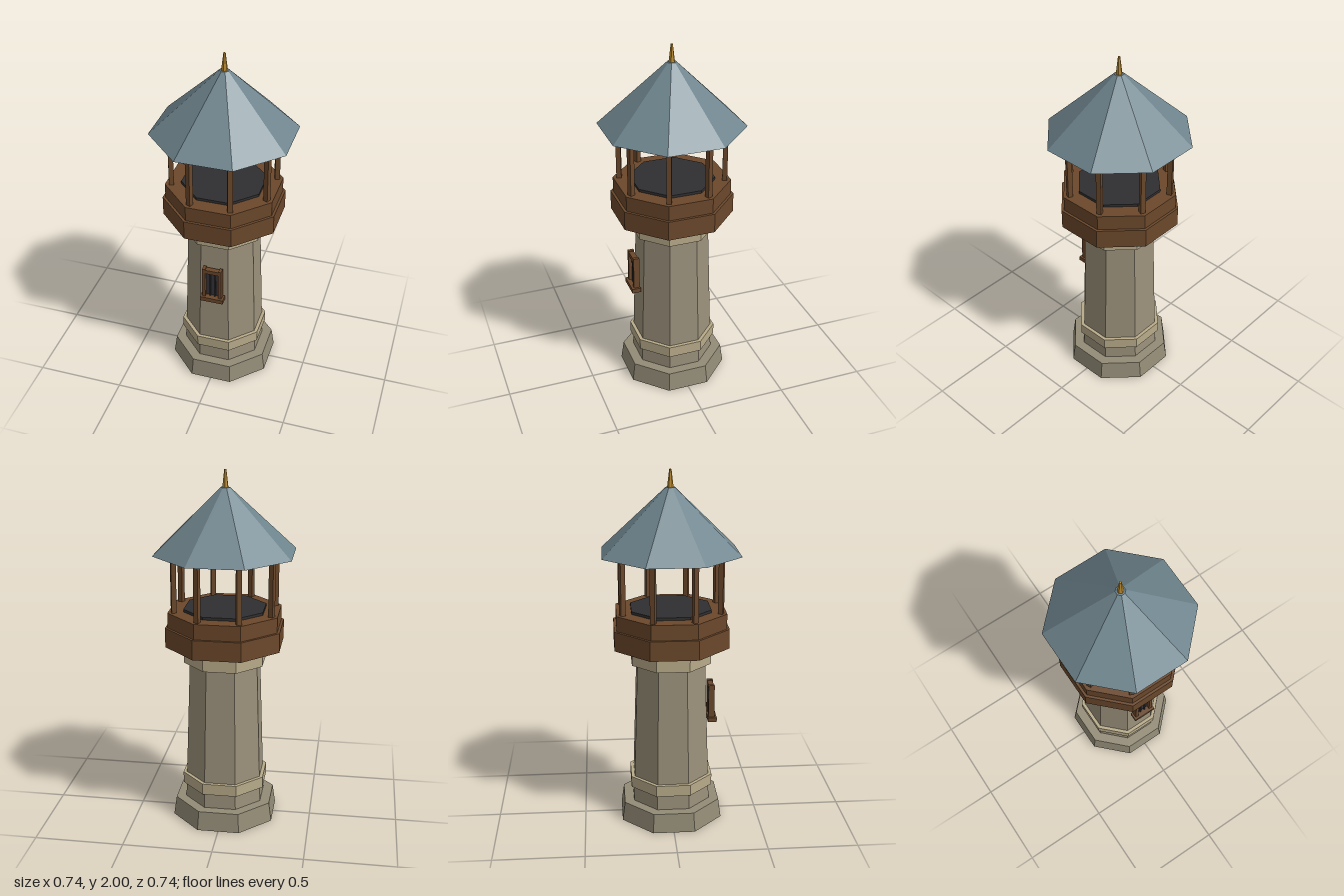
import * as THREE from 'three';

const COLORS = {
  stone: 0x9b917b, baseStone: 0x928b76, trimStone: 0xb8ab8a, wood: 0x6b482b,
  slate: 0x6f858e, darkFloor: 0x2f2f31, darkPane: 0x34343a, gold: 0xb88a30,
};

export function createModel() {
  const model = new THREE.Group();
  model.name = 'watchtower';
  const mats = {};
  for (const [name, color] of Object.entries(COLORS)) {
    mats[name] = new THREE.MeshStandardMaterial({ color, flatShading: true });
    mats[name].name = name;
  }

  const add = (parent, name, geometry, mat) => {
    const mesh = new THREE.Mesh(geometry, mats[mat]);
    mesh.name = name;
    parent.add(mesh);
    return mesh;
  };

  // Octagonal tier, sized from its centre to its flat sides, flats on the axes
  const FLAT = Math.cos(Math.PI / 8);
  const tier = (name, y0, y1, bottom, top, mat) => {
    const g = new THREE.CylinderGeometry(top / FLAT, bottom / FLAT, y1 - y0, 8);
    g.rotateY(Math.PI / 8);
    g.translate(0, (y0 + y1) / 2, 0);
    return add(model, name, g, mat);
  };
  const box = (parent, name, w, h, d, x, y, z, mat) => {
    const mesh = add(parent, name, new THREE.BoxGeometry(w, h, d), mat);
    mesh.position.set(x, y, z);
    return mesh;
  };

  // Stone tower
  tier('foundation', 0, 0.11, 0.285, 0.27, 'baseStone');
  tier('shaft', 0.11, 1.04, 0.216, 0.185, 'stone');
  tier('lowerTrim', 0.2, 0.265, 0.23, 0.23, 'trimStone');
  tier('upperTrim', 0.94, 1.01, 0.219, 0.219, 'trimStone');

  // Wooden gallery
  tier('galleryBase', 1.04, 1.15, 0.314, 0.314, 'wood');
  tier('galleryParapet', 1.15, 1.235, 0.3, 0.3, 'wood');
  tier('galleryFloor', 1.235, 1.25, 0.218, 0.218, 'darkFloor');

  // Posts on the corners, beams between them
  const postRadius = 0.289;
  const frame = new THREE.Group();
  frame.name = 'roofFrame';
  model.add(frame);
  for (let i = 0; i < 8; i++) {
    const a = (i + 0.5) * Math.PI / 4;
    const post = box(frame, 'post', 0.027, 0.32, 0.027,
      Math.sin(a) * postRadius, 1.395, Math.cos(a) * postRadius, 'wood');
    post.rotation.y = a;
    const b = i * Math.PI / 4, r = postRadius * FLAT;
    const beam = box(frame, 'beam', 0.225, 0.02, 0.026,
      Math.sin(b) * r, 1.546, Math.cos(b) * r, 'wood');
    beam.rotation.y = b;
  }

  // Roof and finial
  tier('roof', 1.555, 1.905, 0.371, 0.024, 'slate');
  const finial = add(model, 'finial', new THREE.CylinderGeometry(0.006, 0.018, 0.1, 6), 'gold');
  finial.position.y = 1.95;

  // Front window
  const win = new THREE.Group();
  win.name = 'window';
  model.add(win);
  box(win, 'pane', 0.08, 0.18, 0.008, 0, 0.69, 0.222, 'darkPane');
  for (const s of [-1, 1]) {
    box(win, 'windowJamb', 0.018, 0.2, 0.034, s * 0.047, 0.695, 0.23, 'wood');
    box(win, 'windowBar', 0.008, 0.17, 0.008, s * 0.014, 0.685, 0.231, 'darkFloor');
  }
  box(win, 'windowLintel', 0.1, 0.024, 0.03, 0, 0.777, 0.23, 'wood');
  box(win, 'windowSill', 0.134, 0.026, 0.05, 0, 0.59, 0.235, 'wood');

  return model;
}
